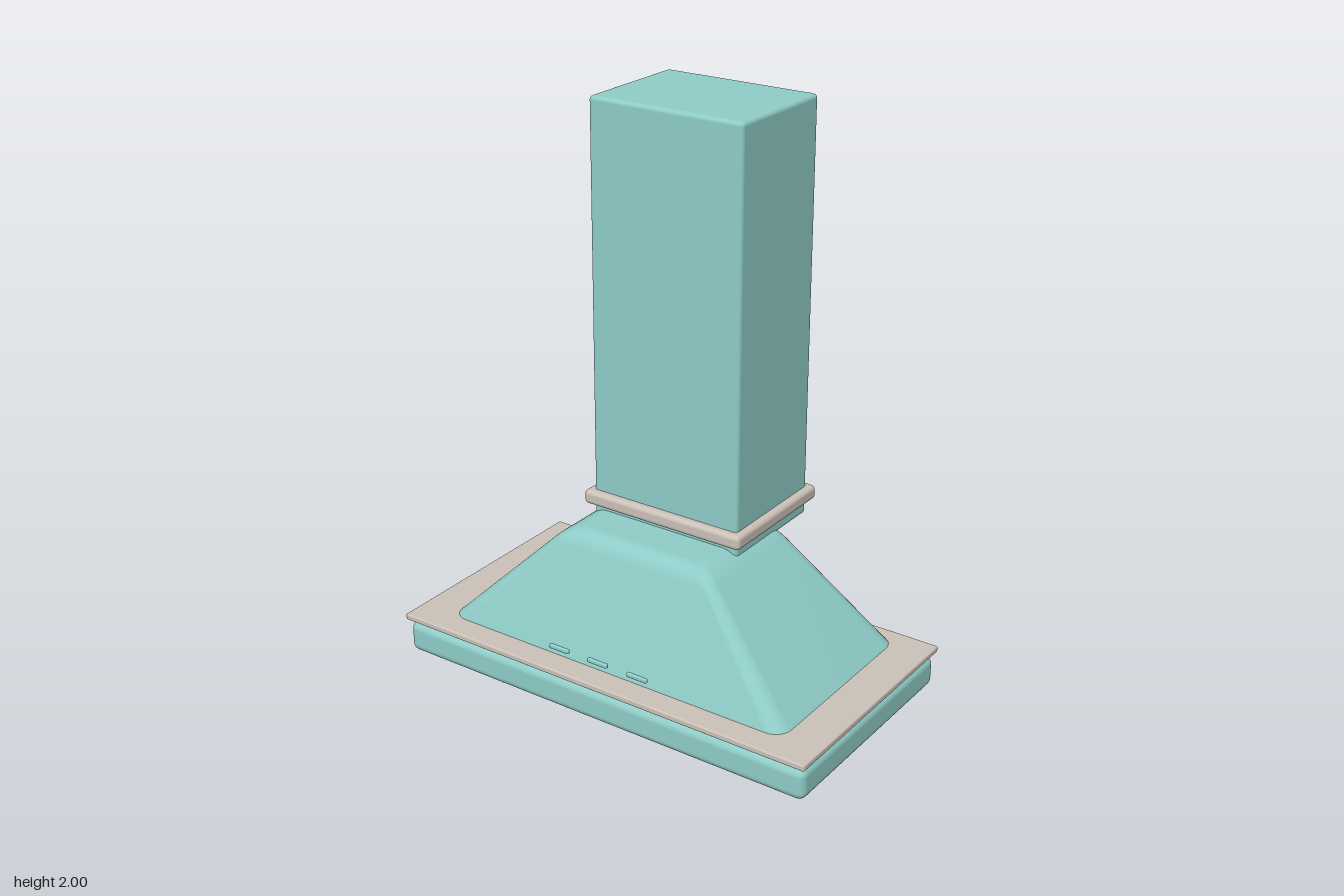
import * as THREE from 'three';
import { RoundedBoxGeometry } from 'three/addons/geometries/RoundedBoxGeometry.js';

const enamel = new THREE.MeshStandardMaterial({ color: 0x8fccc7 });
enamel.name = 'teal enamel';
const trim = new THREE.MeshStandardMaterial({ color: 0xcbc1b8 });
trim.name = 'warm grey trim';

// Rounded box given by its min and max on each axis
function block(name, material, [x0, x1], [y0, y1], [z0, z1], radius) {
  const geometry = new RoundedBoxGeometry(x1 - x0, y1 - y0, z1 - z0, 4, radius);
  const mesh = new THREE.Mesh(geometry, material);
  mesh.position.set((x0 + x1) / 2, (y0 + y1) / 2, (z0 + z1) / 2);
  mesh.name = name;
  return mesh;
}

// Outline of a rounded rectangle at height y, in order of rising angle
function ring(hx, hz, radius, y, steps = 6) {
  const points = [];
  for (let corner = 0; corner < 4; corner++) {
    const sx = corner === 0 || corner === 3 ? 1 : -1;
    const sz = corner < 2 ? 1 : -1;
    for (let i = 0; i <= steps; i++) {
      const a = (corner + i / steps) * Math.PI / 2;
      points.push([
        sx * (hx - radius) + Math.cos(a) * radius, y,
        sz * (hz - radius) + Math.sin(a) * radius,
      ]);
    }
  }
  return points;
}

// Tapered canopy: straight sloping walls that roll over into a flat top
function canopyGeometry() {
  const rings = [ring(0.73, 0.387, 0.065, 0.1), ring(0.335, 0.239, 0.04, 0.495)];
  const bend = new THREE.QuadraticBezierCurve3(
    new THREE.Vector3(0.335, 0.495, 0.239),
    new THREE.Vector3(0.28, 0.55, 0.218),
    new THREE.Vector3(0.235, 0.55, 0.17),
  );
  for (let i = 1; i <= 6; i++) {
    const p = bend.getPoint(i / 6);
    rings.push(ring(p.x, p.z, 0.04, p.y));
  }
  const n = rings[0].length;
  const index = [];
  for (let k = 0; k < rings.length - 1; k++) {
    for (let j = 0; j < n; j++) {
      const a = k * n + j, b = k * n + (j + 1) % n;
      index.push(a, a + n, b, b, a + n, b + n);
    }
  }
  // Flat top cap
  const last = (rings.length - 1) * n, centre = rings.length * n;
  for (let j = 0; j < n; j++) index.push(centre, last + (j + 1) % n, last + j);

  const positions = [...rings.flat(2), 0, 0.55, 0];
  const geometry = new THREE.BufferGeometry();
  geometry.setAttribute('position', new THREE.Float32BufferAttribute(positions, 3));
  geometry.setIndex(index);
  geometry.computeVertexNormals();
  return geometry;
}

export function createModel() {
  const model = new THREE.Group();
  model.name = 'rangeHood';

  // Base slab and the thin trim plate above it
  model.add(block('base', enamel, [-0.813, 0.813], [0, 0.115], [-0.432, 0.432], 0.03));
  model.add(block('trimPlate', trim, [-0.82, 0.82], [0.125, 0.148], [-0.44, 0.44], 0.006));

  // Canopy
  const canopy = new THREE.Mesh(canopyGeometry(), enamel);
  canopy.name = 'canopy';
  canopy.position.z = -0.018;
  model.add(canopy);

  // Chimney and its collar
  model.add(block('chimney', enamel, [-0.292, 0.292], [0.515, 2], [-0.418, 0.024], 0.015));
  model.add(block('collar', trim, [-0.318, 0.318], [0.568, 0.62], [-0.442, 0.052], 0.016));

  // Row of control buttons
  for (const x of [-0.16, 0, 0.16]) {
    model.add(block('button', enamel, [x - 0.041, x + 0.041], [0.206, 0.222], [0.397, 0.411], 0.005));
  }
  return model;
}
